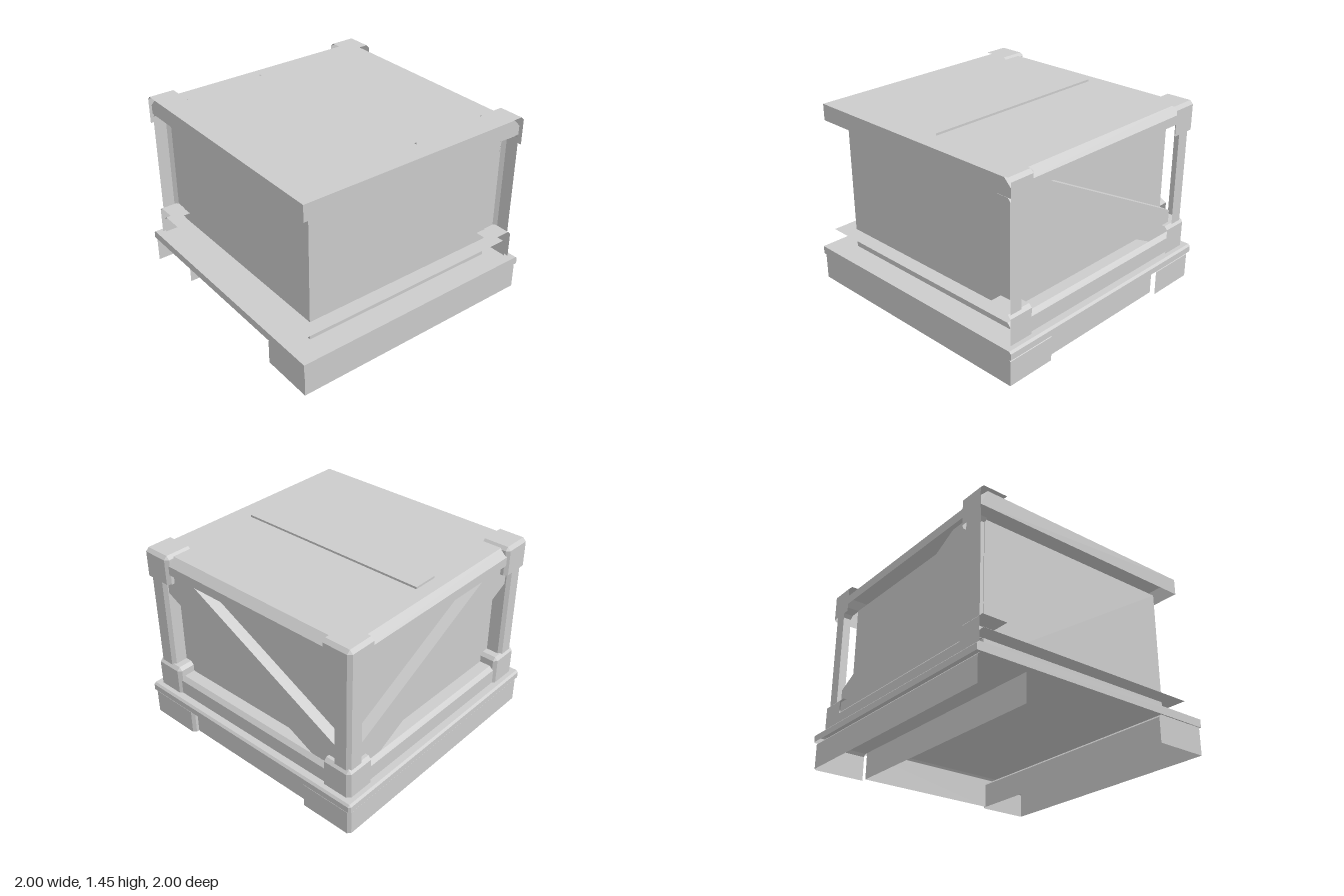
import * as THREE from 'three';

const gray = new THREE.MeshStandardMaterial({ color: 0xcccccc, side: THREE.DoubleSide });
gray.name = 'plain gray';

// Flat-shaded mesh from convex polygons
function polygons(name, faces) {
  const pos = [];
  for (const f of faces) {
    for (let i = 1; i < f.length - 1; i++) pos.push(...f[0], ...f[i], ...f[i + 1]);
  }
  const geo = new THREE.BufferGeometry();
  geo.setAttribute('position', new THREE.Float32BufferAttribute(pos, 3));
  geo.computeVertexNormals();
  const mesh = new THREE.Mesh(geo, gray);
  mesh.name = name;
  return mesh;
}

// Open block: top, +x and -z faces joined by bevels of size c.
// closed adds the +z and -x faces.
function shell(name, [x0, x1], [y0, y1], [z0, z1], c, closed = false) {
  const xb = x1 - c, yb = y1 - c, zb = z0 + c;
  const faces = [
    [[x1, y0, z1], [x1, y0, zb], [x1, yb, zb], [x1, yb, z1]],
    [[xb, y0, z0], [x0, y0, z0], [x0, yb, z0], [xb, yb, z0]],
    [[x0, y1, z1], [xb, y1, z1], [xb, y1, zb], [x0, y1, zb]],
  ];
  if (c > 0) {
    faces.push(
      [[x1, yb, z1], [x1, yb, zb], [xb, y1, zb], [xb, y1, z1]],
      [[xb, yb, z0], [x0, yb, z0], [x0, y1, zb], [xb, y1, zb]],
      [[x1, y0, zb], [xb, y0, z0], [xb, yb, z0], [x1, yb, zb]],
      [[x1, yb, zb], [xb, yb, z0], [xb, y1, zb]],
    );
  }
  if (closed) {
    faces.push(
      [[x0, y0, z1], [x1, y0, z1], [x1, yb, z1], [xb, y1, z1], [x0, y1, z1]],
      [[x0, y0, z0], [x0, y0, z1], [x0, y1, z1], [x0, y1, zb], [x0, yb, z0]],
    );
  }
  return polygons(name, faces);
}

// Diagonal board on the back, low towards +x: outer face and sloping top edge
function brace(name) {
  const inner = -0.81, outer = -0.9;
  const outline = [[-0.58, 1.303], [-0.808, 1.303], [-0.808, 1.115], [0.575, 0.418], [0.808, 0.418], [0.808, 0.595]];
  const [high, low] = [outline[0], outline[5]];
  return polygons(name, [
    outline.map(([x, y]) => [x, y, outer]).reverse(),
    [[...high, outer], [...high, inner], [...low, inner], [...low, outer]],
  ]);
}

export function createModel() {
  const crate = new THREE.Group();
  crate.name = 'crate';

  // Runners and base slab
  crate.add(
    shell('frontRunner', [-0.99, 0.987], [0, 0.21], [0.575, 0.99], 0.021, true),
    shell('rearRunner', [-0.99, 0.987], [0, 0.21], [-0.987, -0.572], 0.021),
    shell('baseSlab', [-1, 1], [0.21, 0.272], [-1, 1], 0.015, true),
  );

  // Recessed skirt between the runners: one side board and one back board
  const [sx0, sx1, sy, sz0, sz1] = [-0.94, 0.945, 0.21, -0.572, 0.573];
  crate.add(polygons('skirt', [
    [[sx1, 0, sz1], [sx1, 0, sz0], [sx1, sy, sz0], [sx1, sy, sz1]],
    [[sx1, 0, sz0], [sx0, 0, sz0], [sx0, sy, sz0], [sx1, sy, sz0]],
  ]));

  // Walls, lower frame and lid
  crate.add(
    shell('walls', [-0.815, 0.813], [0.272, 1.303], [-0.813, 0.815], 0, true),
    shell('lowerFrame', [-0.932, 0.932], [0.272, 0.418], [-0.932, 0.93], 0.03),
    shell('lid', [-0.935, 0.932], [1.303, 1.428], [-0.935, 0.932], 0.055, true),
    shell('lidStrip', [-0.092, 0.102], [1.428, 1.444], [-0.78, 0.778], 0),
  );

  // Diagonal braces, both low at the shared back left corner
  const sideBrace = brace('sideBrace');
  sideBrace.rotation.y = Math.PI / 2;
  sideBrace.scale.z = -1;
  crate.add(brace('backBrace'), sideBrace);

  // Three corner posts, each with a bottom and a top cap
  const span = (s, inner, outer) => (s > 0 ? [inner, outer] : [-outer, -inner]);
  for (const [name, sx, sz] of [['frontLeft', 1, 1], ['backLeft', 1, -1], ['backRight', -1, -1]]) {
    const capX = span(sx, 0.73, 0.95), capZ = span(sz, 0.73, 0.95);
    crate.add(
      shell(name + 'Post', span(sx, 0.81, 0.933), [0.415, 1.303], span(sz, 0.807, 0.934), 0.025),
      shell(name + 'BottomCap', capX, [0.272, 0.497], capZ, 0.025),
      shell(name + 'TopCap', capX, [1.225, 1.445], capZ, 0.025),
    );
  }
  return crate;
}
